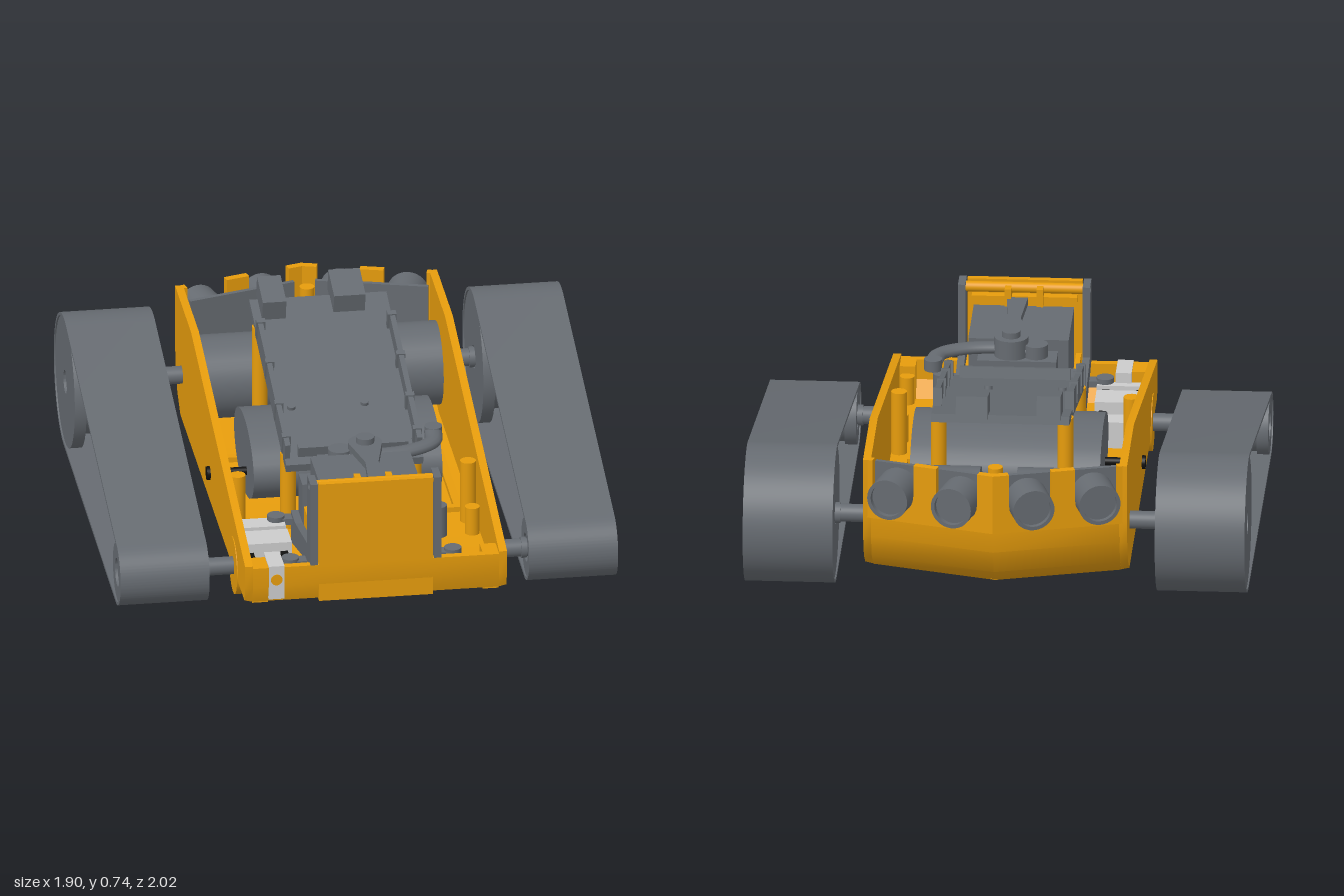
import * as THREE from 'three';
import { toCreasedNormals } from 'three/addons/utils/BufferGeometryUtils.js';

const mat = (color) => new THREE.MeshStandardMaterial({ color });

export function createModel() {
  const root = new THREE.Group();
  const ORANGE = mat(0xe69c0c), SLATE = mat(0x666b71), LIGHT = mat(0xcccccc), BLACK = mat(0x111111);

  const add = (name, geo, material, x = 0, y = 0, z = 0, parent = root) => {
    const m = new THREE.Mesh(geo, material);
    m.name = name;
    m.position.set(x, y, z);
    parent.add(m);
    return m;
  };
  // box given by its min and max along each axis
  const box = (name, material, x0, x1, y0, y1, z0, z1, parent = root) =>
    add(name, new THREE.BoxGeometry(x1 - x0, y1 - y0, z1 - z0), material,
      (x0 + x1) / 2, (y0 + y1) / 2, (z0 + z1) / 2, parent);
  const rod = (name, material, r, x0, x1, y, z) =>
    add(name, new THREE.CylinderGeometry(r, r, x1 - x0, 32).rotateZ(Math.PI / 2), material, (x0 + x1) / 2, y, z);
  const post = (name, material, r, x, y0, y1, z) =>
    add(name, new THREE.CylinderGeometry(r, r, y1 - y0, 20), material, x, (y0 + y1) / 2, z);
  const outline = (pts) => new THREE.Shape(pts.map(([u, v]) => new THREE.Vector2(u, v)));
  // extrude a (z, y) outline across x
  const across = (shape, x0, x1, steps = 1) =>
    new THREE.ExtrudeGeometry(shape, { depth: x1 - x0, steps, bevelEnabled: false, curveSegments: 32 })
      .rotateY(-Math.PI / 2).translate(x1, 0, 0);
  const reshape = (geo, rule) => {
    const p = geo.attributes.position, v = new THREE.Vector3();
    for (let i = 0; i < p.count; i++) {
      rule(v.fromBufferAttribute(p, i));
      p.setXYZ(i, v.x, v.y, v.z);
    }
    return toCreasedNormals(geo, 0.55);
  };

  // Hull: bent floor skin, its tail drawn to a shallow point
  const skin = across(outline([
    [-0.97, 0.36], [-0.96, 0.27], [-0.91, 0.17], [-0.83, 0.105], [-0.72, 0.08],
    [0.92, 0.08], [0.98, 0.105], [1, 0.17], [1, 0.25], [0.97, 0.25], [0.97, 0.17], [0.92, 0.11],
    [-0.72, 0.11], [-0.81, 0.135], [-0.885, 0.19], [-0.93, 0.28], [-0.94, 0.36]]), -0.47, 0.47, 2);
  add('hullFloor', reshape(skin, (v) => { if (v.z < -0.5) v.z += 0.28 * Math.abs(v.x); }), ORANGE);

  // Side walls with a chamfered lower outer edge
  const wall = outline([[-0.835, 0.585], [-0.835, 0.36], [-0.825, 0.27], [-0.775, 0.17], [-0.695, 0.105],
    [-0.585, 0.08], [0.92, 0.08], [0.98, 0.105], [1, 0.17], [1, 0.26], [-0.42, 0.585]]);
  const tilt = Math.atan(0.28);
  for (const s of [-1, 1]) {
    const g = across(wall, s > 0 ? 0.47 : -0.5, s > 0 ? 0.5 : -0.47);
    add('sideWall', reshape(g, (v) => { if (Math.abs(v.x) > 0.49) v.y = Math.max(v.y, 0.112); }), ORANGE);

    // Rear wall half with open notches holding the round sensors
    const rear = add('rearWall', undefined, ORANGE, 0, 0, -0.97);
    const pts = [[0, 0.35], [0.51, 0.35], [0.51, 0.585]];
    for (const u of [0.4, 0.145]) {
      pts.push([u + 0.082, 0.585]);
      for (let i = 0; i <= 12; i++) {
        const a = -Math.PI * i / 12;
        pts.push([u + 0.082 * Math.cos(a), 0.46 + 0.082 * Math.sin(a)]);
      }
      pts.push([u - 0.082, 0.585]);
    }
    pts.push([0, 0.585]);
    rear.geometry = new THREE.ExtrudeGeometry(outline(pts.map(([u, v]) => [s * u, v])),
      { depth: 0.03, bevelEnabled: false });
    rear.rotation.y = -s * tilt;
    const cup = [[0, -0.07], [0.08, -0.07], [0.08, 0.065], [0.066, 0.065], [0.066, 0.045], [0, 0.045]];
    for (const u of [0.145, 0.4]) {
      const g2 = new THREE.LatheGeometry(cup.map(([r, h]) => new THREE.Vector2(r, h)), 32).rotateX(-Math.PI / 2);
      add('rearSensor', toCreasedNormals(g2, 0.6), SLATE, s * u, 0.46, 0, rear);
    }
    add('sensorBoard', new THREE.BoxGeometry(0.43, 0.18, 0.018), SLATE, s * 0.28, 0.465, 0.08, rear);

    // Drive motor and axles
    rod('driveMotor', SLATE, 0.16, s > 0 ? 0.07 : -0.475, s > 0 ? 0.475 : -0.07, 0.305, -0.61);
    rod('motorShaft', SLATE, 0.035, s > 0 ? 0.04 : -0.07, s > 0 ? 0.07 : -0.04, 0.305, -0.61);
    for (const [y, z] of [[0.295, -0.66], [0.13, 0.7]]) {
      rod('axle', SLATE, 0.034, s > 0 ? 0.47 : -0.63, s > 0 ? 0.63 : -0.47, y, z);
      rod('axleCollar', SLATE, 0.04, s > 0 ? 0.595 : -0.615, s > 0 ? 0.615 : -0.595, y, z);
    }
    rod('axleBoss', ORANGE, 0.11, s > 0 ? 0.47 : -0.503, s > 0 ? 0.503 : -0.47, 0.13, 0.7);

    // Track belt: thin loop round two pulleys
    const loop = (Type, cut) => {
      const path = new Type(), ra = 0.125 - cut, rb = 0.265 - cut;
      const phi = Math.atan2(0.165, -1.36), beta = Math.acos((ra - rb) / Math.hypot(1.36, 0.165));
      path.absarc(-0.66, 0.295, rb, phi - beta, phi + beta, false);
      path.absarc(0.7, 0.13, ra, phi + beta, phi + 2 * Math.PI - beta, false);
      path.closePath();
      return path;
    };
    const belt = loop(THREE.Shape, 0);
    belt.holes.push(loop(THREE.Path, 0.012));
    add('trackBelt', toCreasedNormals(across(belt, s > 0 ? 0.61 : -0.95, s > 0 ? 0.95 : -0.61), 0.5), SLATE, 0, 0, 0);

    // Spool-shaped pulleys with a recessed hub
    for (const [name, r, core, hub, y, z] of [['rearPulley', 0.252, 0.2, 0.045, 0.295, -0.66],
      ['frontPulley', 0.112, 0.1, 0.055, 0.13, 0.7]]) {
      const half = [[0, 0.145], [hub * 0.5, 0.145], [hub * 0.5, 0.155], [hub, 0.155], [hub, 0.165], [r, 0.165],
        [r, 0.12], [core, 0.12]];
      const prof = [...half.map(([a, h]) => [a, -h]), ...half.slice().reverse()];
      const g3 = new THREE.LatheGeometry(prof.map(([a, h]) => new THREE.Vector2(a, h)), 48).rotateZ(Math.PI / 2);
      add(name, toCreasedNormals(g3, 0.5), SLATE, s * 0.78, y, z);
    }
    rod('frontHubCap', ORANGE, 0.025, s > 0 ? 0.92 : -0.93, s > 0 ? 0.93 : -0.92, 0.13, 0.7);

    // Mounting posts on the floor
    for (const z of [-0.4, 0.34]) post('trayPost', ORANGE, 0.03, s * 0.24, 0.1, 0.5 - 0.25 * z, z);
    post('floorPost', ORANGE, 0.03, s * 0.44, 0.1, 0.36, 0.39);
    if (s > 0) for (const z of [0.5, 0.88]) post('floorPost', ORANGE, 0.028, 0.44, 0.1, 0.22, z);
    box('cornerBlock', ORANGE, s > 0 ? 0.41 : -0.47, s > 0 ? 0.47 : -0.41, 0.1, 0.25, 0.9, 0.98);

    // Lift bracket with a pivot hole and bolted feet
    const br = outline([[0.48, 0.11], [1, 0.25], [1, 0.585], [0.91, 0.585], [0.91, 0.3], [0.6, 0.24], [0.48, 0.24]]);
    br.holes.push(new THREE.Path().absarc(0.955, 0.562, 0.016, 0, Math.PI * 2, true));
    add('liftBracket', across(br, s > 0 ? 0.222 : -0.25, s > 0 ? 0.25 : -0.222), SLATE);
    for (const z of [0.5, 0.88]) {
      box('bracketFoot', SLATE, s > 0 ? 0.25 : -0.31, s > 0 ? 0.31 : -0.25, 0.2, 0.225, z - 0.025, z + 0.025);
      post('footBolt', SLATE, 0.033, s * 0.31, 0.11, 0.235, z);
    }
    box('innerRail', ORANGE, s > 0 ? 0.195 : -0.215, s > 0 ? 0.215 : -0.195, 0.11, 0.3, 0.57, 0.95);
  }
  post('rearPost', ORANGE, 0.028, 0, 0.11, 0.56, -0.81);

  // Raised rim round the drum bay
  const rim = outline([[-0.43, -0.28], [0.43, -0.28], [0.43, 0.31], [-0.43, 0.31]]);
  rim.holes.push(outline([[-0.4, -0.25], [0.4, -0.25], [0.4, 0.28], [-0.4, 0.28]]));
  add('floorRim', new THREE.ExtrudeGeometry(rim, { depth: 0.02, bevelEnabled: false })
    .rotateX(Math.PI / 2).translate(0, 0.13, 0), ORANGE);
  rod('centreDrum', SLATE, 0.26, -0.36, 0.36, 0.27, 0.01).scale.y = 0.58;

  // Front plate with its hinge bar
  box('frontPlate', ORANGE, -0.218, 0.218, 0.1, 0.585, 0.975, 1);
  box('frontPlateLip', ORANGE, -0.2, 0.2, 0.5, 0.53, 0.94, 0.98);
  rod('hingeBar', ORANGE, 0.02, -0.222, 0.222, 0.562, 0.955);
  for (const x of [-0.06, 0.06]) box('plateGusset', ORANGE, x - 0.012, x + 0.012, 0.5, 0.575, 0.9, 0.98);

  // Lift servo block, arm and curved link
  box('servoBody', SLATE, -0.19, 0.19, 0.11, 0.505, 0.58, 0.91);
  box('servoBase', SLATE, -0.22, 0.22, 0.11, 0.39, 0.48, 0.58);
  box('servoFlange', SLATE, -0.15, 0.15, 0.39, 0.46, 0.47, 0.6);
  const arm = outline([[-0.065, 0.54], [0.065, 0.54], [0.025, 0.72], [0.04, 0.92], [-0.04, 0.92], [-0.025, 0.72]]);
  add('liftArm', new THREE.ExtrudeGeometry(arm, { depth: 0.028, bevelEnabled: false })
    .rotateX(Math.PI / 2).translate(0, 0.535, 0), SLATE, 0.025);
  post('armHub', SLATE, 0.065, 0.025, 0.46, 0.535, 0.54);
  post('armPin', SLATE, 0.035, 0.025, 0.535, 0.558, 0.54);
  post('servoPin', SLATE, 0.045, -0.07, 0.44, 0.51, 0.53);
  const linkPath = new THREE.CatmullRomCurve3([[-0.07, 0.53], [0.05, 0.55], [0.2, 0.53], [0.29, 0.47], [0.31, 0.37]]
    .map(([x, z]) => new THREE.Vector3(x, 0, z)));
  add('curvedLink', new THREE.TubeGeometry(linkPath, 32, 0.034, 12), SLATE, 0, 0.483, 0).scale.y = 0.65;
  post('linkEnd', SLATE, 0.034, 0.31, 0.461, 0.505, 0.37);

  // Sloping electronics tray
  const tray = new THREE.Group();
  tray.name = 'tray';
  tray.position.set(0, 0.52, -0.045);
  tray.rotation.x = Math.atan(0.25);
  root.add(tray);
  box('trayBase', SLATE, -0.262, 0.262, -0.02, 0.012, -0.5, 0.5, tray);
  box('trayLip', SLATE, -0.21, 0.21, 0.01, 0.055, 0.43, 0.455, tray);
  for (const s of [-1, 1]) {
    box('traySide', SLATE, s * 0.252 - 0.01, s * 0.252 + 0.01, 0, 0.075, -0.3, 0.46, tray);
    for (const z of [-0.29, -0.05, 0.2, 0.4])
      box('trayRib', SLATE, s * 0.25 - 0.017, s * 0.25 + 0.017, 0, 0.08, z - 0.012, z + 0.012, tray);
    const screw = post('trayScrew', SLATE, 0.016, s * 0.14 - 0.055, 0.01, 0.025, 0.16);
    tray.add(screw);
  }
  // Camera boxes at the raised end
  for (const [x0, x1, z] of [[-0.23, -0.14, -0.475], [0.045, 0.165, -0.495]]) {
    const cam = box('cameraBox', SLATE, x0, x1, 0.633, 0.723, z - 0.08, z + 0.08);
    cam.rotation.x = Math.atan(0.25);
  }

  // Small slide unit on the right side
  for (const x of [-0.445, -0.315]) box('slideRod', BLACK, x - 0.014, x + 0.014, 0.17, 0.2, 0.5, 0.88);
  box('slideEnd', LIGHT, -0.475, -0.28, 0.11, 0.215, 0.48, 0.56);
  box('slideCarriage', LIGHT, -0.475, -0.285, 0.13, 0.235, 0.63, 0.75);
  box('slideEnd', LIGHT, -0.475, -0.28, 0.11, 0.215, 0.84, 0.88);
  box('slideNose', LIGHT, -0.41, -0.35, 0.12, 0.256, 0.87, 1.002);
  add('noseScrew', new THREE.CylinderGeometry(0.022, 0.022, 0.01, 20).rotateX(Math.PI / 2), ORANGE, -0.38, 0.2, 1);
  rod('sidePin', BLACK, 0.016, -0.51, -0.36, 0.225, 0.075);
  rod('sidePinHead', BLACK, 0.026, -0.513, -0.495, 0.225, 0.075);
  return root;
}
